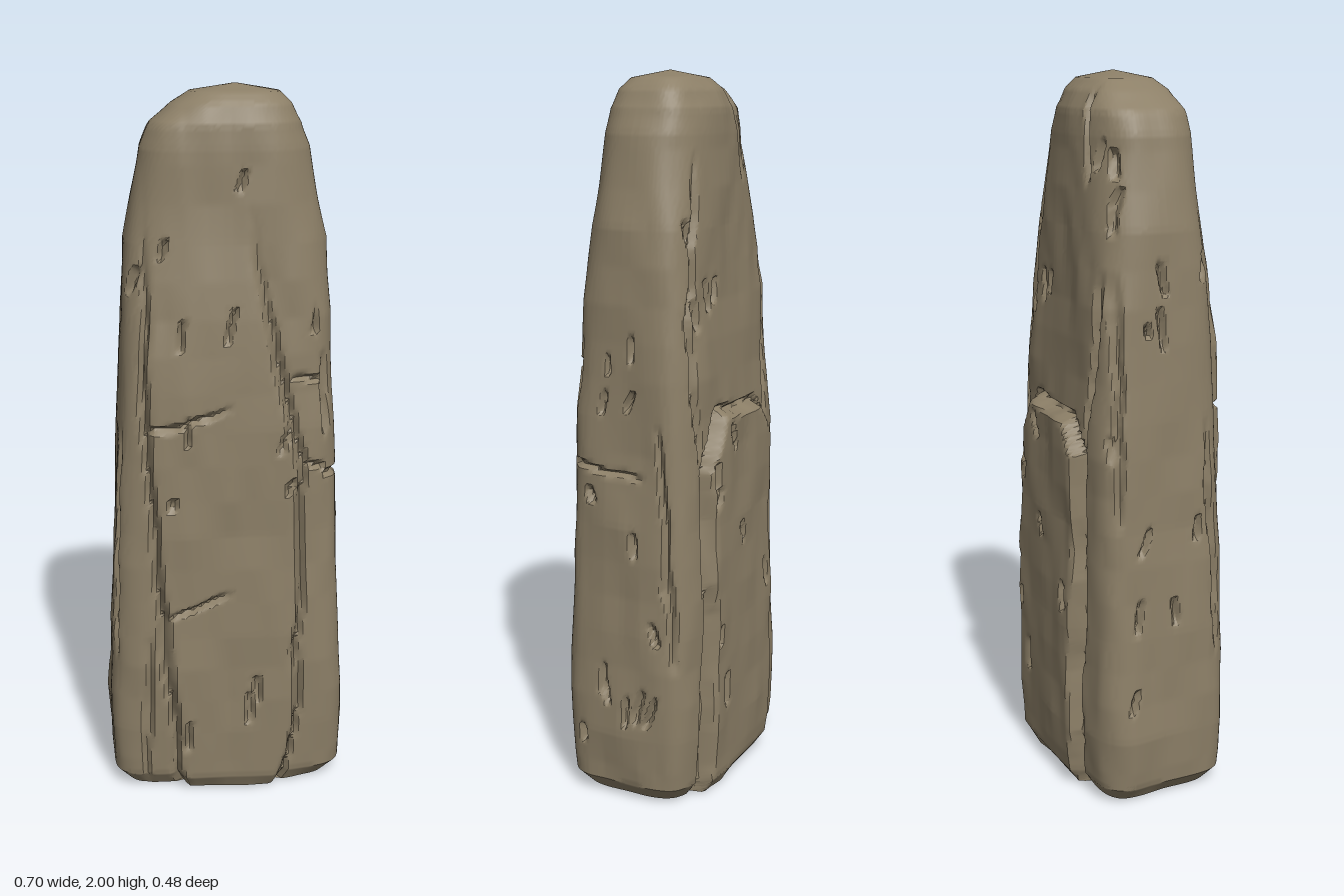
import * as THREE from 'three';
import { toCreasedNormals } from 'three/addons/utils/BufferGeometryUtils.js';

const { lerp, smoothstep, clamp } = THREE.MathUtils;
const AROUND = 208;

// Height, half width and half depth of the stone
const PROFILE = [
  [0, 0.002, 0.002], [0.005, 0.3, 0.17], [0.05, 0.335, 0.198], [0.2, 0.34, 0.204],
  [0.5, 0.33, 0.204], [1.1, 0.3, 0.19], [1.6, 0.27, 0.16], [1.84, 0.228, 0.147],
  [1.9, 0.203, 0.14], [1.95, 0.16, 0.118], [1.98, 0.118, 0.086], [2, 0.002, 0.002],
];

// Raised slabs: closed outlines of [across, height], fading out between two heights
const SLABS = [
  { face: 'front', rise: 0.026, fade: [1.2, 1.75], outline: [
    [-0.13, -0.1], [-0.19, 0.5], [-0.23, 1.1], [-0.22, 1.8],
    [0.04, 1.8], [0.13, 1.3], [0.205, 0.95], [0.19, 0.2], [0.12, -0.1]] },
  { face: 'back', rise: 0.032, fade: [1.3, 1.4], outline: [
    [0.22, -0.1], [0.21, 0.95], [0.13, 1.11], [-0.12, 1.09], [-0.19, 1], [-0.17, -0.1]] },
];

// Long cracks on each face, as lines of [across, height]
const CRACKS = {
  front: [
    [[-0.25, 1.1], [-0.13, 1.11], [0, 1.16]],
    [[0.16, 1.24], [0.32, 1.22]],
    [[0.19, 1], [0.36, 0.95]],
    [[-0.18, 0.55], [0, 0.63]],
    [[-0.22, 0.5], [-0.24, 0]],
  ],
  right: [
    [[0.24, 0.96], [-0.06, 0.94]],
    [[-0.1, 1.1], [-0.16, 0.4]],
    [[0.15, 1.3], [0.19, 1]],
  ],
  back: [
    [[0.21, 0.93], [0.24, 1.3], [0.15, 1.8]],
    [[-0.12, 1.7], [-0.08, 1.97]],
    [[-0.19, 1], [-0.22, 1.5]],
  ],
  left: [
    [[-0.13, 1.5], [-0.14, 0.8]],
    [[0.12, 1.1], [0.15, 0.4]],
  ],
};

// Repeatable random number from three integers
function hash(a, b, c) {
  const s = Math.sin(a * 127.1 + b * 311.7 + c * 74.7) * 43758.5453;
  return s - Math.floor(s);
}

// Linear value noise, which leaves soft chiselled facets
function noise(x, y, z) {
  const i = Math.floor(x), j = Math.floor(y), k = Math.floor(z);
  const row = (b, c) => lerp(hash(i, b, c), hash(i + 1, b, c), x - i);
  const layer = (c) => lerp(row(j, c), row(j + 1, c), y - j);
  return lerp(layer(k), layer(k + 1), z - k) * 2 - 1;
}

// Add short, nearly upright chips to the long cracks of every face
function allCracks() {
  const result = {};
  Object.entries(CRACKS).forEach(([face, lines], f) => {
    const reach = face === 'front' || face === 'back' ? 0.23 : 0.14;
    const chips = Array.from({ length: 13 }, (_, i) => {
      const y = 0.1 + 1.75 * hash(i, f, 1), a = (hash(i, f, 2) * 2 - 1) * reach;
      return [[a, y], [a + (hash(i, f, 4) - 0.5) * 0.06, y + 0.04 + 0.08 * hash(i, f, 3)]];
    });
    result[face] = [...lines, ...chips];
  });
  return result;
}

// Distance to a line of points, and how far along it the nearest place lies
function nearest(pts, a, y) {
  let dist = Infinity, along = 0;
  for (let i = 0; i < pts.length - 1; i++) {
    const [px, py] = pts[i], dx = pts[i + 1][0] - px, dy = pts[i + 1][1] - py;
    const t = clamp(((a - px) * dx + (y - py) * dy) / (dx * dx + dy * dy), 0, 1);
    const d = Math.hypot(a - px - dx * t, y - py - dy * t);
    if (d < dist) {
      dist = d;
      along = (i + t) / (pts.length - 1);
    }
  }
  return { dist, along };
}

function inside(pts, a, y) {
  let hit = false;
  pts.forEach((p, i) => {
    const q = pts[(i + 1) % pts.length];
    if ((p[1] > y) !== (q[1] > y) && a < p[0] + (q[0] - p[0]) * (y - p[1]) / (q[1] - p[1])) hit = !hit;
  });
  return hit;
}

// How far the surface stands out from the plain block at a point
function relief(face, x, y, z, cracks) {
  const across = face === 'front' || face === 'back' ? x : z;
  const a = across + 0.012 * noise(x * 25, y * 11, z * 25);
  const h = y + 0.01 * noise(x * 20 + 9, y * 20, z * 20);
  const cut = (dist) => 1 - smoothstep(dist, 0.001, 0.014);
  let out = 0.009 * noise(x * 8 + 3, y * 5, z * 8) + 0.005 * noise(x * 18, y * 10 + 5, z * 18);
  let groove = 0;
  for (const { rise, fade, outline } of SLABS.filter((s) => s.face === face)) {
    const { dist } = nearest([...outline, outline[0]], a, h);
    const strength = 1 - smoothstep(y, ...fade);
    if (inside(outline, a, h)) out += rise * smoothstep(dist, 0, 0.025) * strength;
    groove = Math.max(groove, cut(dist) * strength);
  }
  for (const line of cracks[face]) {
    // Cracks grow shallow towards both ends
    const { dist, along } = nearest(line, a, h);
    groove = Math.max(groove, cut(dist) * (1 - (2 * along - 1) ** 4));
  }
  return out - 0.02 * groove;
}

// Rings between the profile rows, closer together where the outline turns in
function makeRings() {
  const rings = [PROFILE[0]];
  for (let i = 1; i < PROFILE.length; i++) {
    const p = PROFILE[i - 1], q = PROFILE[i];
    const steps = Math.max(4, Math.ceil((q[0] - p[0]) / 0.0098));
    for (let s = 1; s <= steps; s++) rings.push(p.map((v, k) => lerp(v, q[k], s / steps)));
  }
  return rings;
}

function makeStone() {
  const cracks = allCracks(), pos = [], index = [];
  makeRings().forEach(([y, w, d], i) => {
    const n = lerp(5.5, 3, smoothstep(y, 0.9, 1.95));
    const lean = 0.03 * smoothstep(y, 1.88, 2);
    const strength = clamp(d / 0.13, 0, 1) ** 2;
    for (let j = 0; j < AROUND; j++) {
      // Rounded-rectangle cross-section
      const t = j / AROUND * Math.PI * 2, c = Math.cos(t), s = Math.sin(t);
      const r = (Math.abs(c) ** n + Math.abs(s) ** n) ** (-1 / n);
      const u = c * r, v = s * r, x = lean + u * w, z = v * d;
      const face = Math.abs(v) >= Math.abs(u) ? (v > 0 ? 'front' : 'back') : (u > 0 ? 'right' : 'left');
      const nx = Math.sign(u) * Math.abs(u) ** (n - 1) / w, nz = Math.sign(v) * Math.abs(v) ** (n - 1) / d;
      const out = relief(face, x, y, z, cracks) * strength / Math.hypot(nx, nz);
      pos.push(x + nx * out, y, z + nz * out);
      if (i === 0) continue;
      const k = (j + 1) % AROUND, lo = (i - 1) * AROUND, hi = i * AROUND;
      index.push(lo + j, hi + j, lo + k, lo + k, hi + j, hi + k);
    }
  });
  const geo = new THREE.BufferGeometry();
  geo.setAttribute('position', new THREE.Float32BufferAttribute(pos, 3));
  geo.setIndex(index);
  return toCreasedNormals(geo, 0.6);
}

export function createModel() {
  const stone = new THREE.MeshStandardMaterial({ color: 0x8c7f67 });
  stone.name = 'weathered stone';
  const mesh = new THREE.Mesh(makeStone(), stone);
  mesh.name = 'standingStone';
  const group = new THREE.Group();
  group.name = 'standingStoneModel';
  group.add(mesh);
  return group;
}
